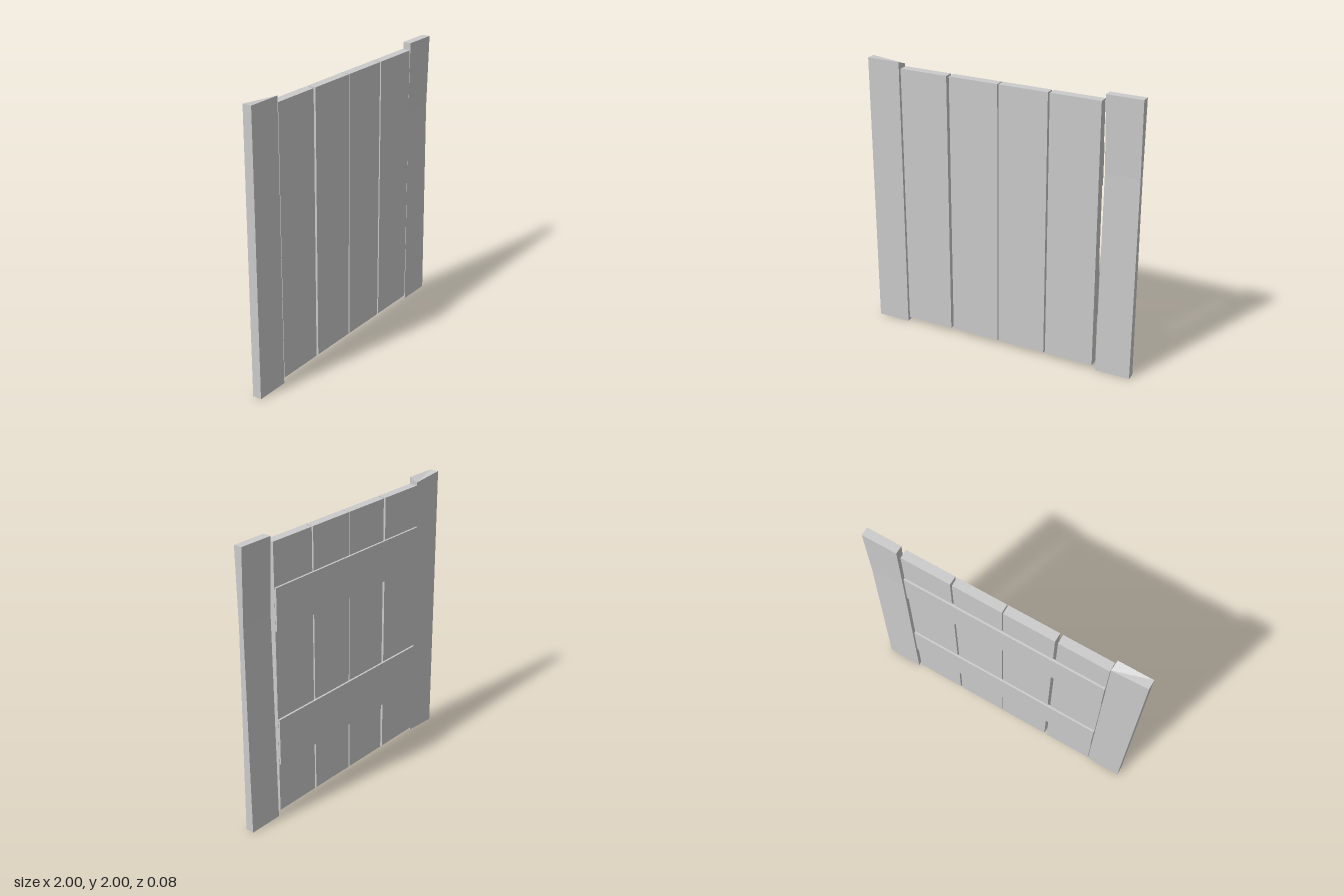
import * as THREE from 'three';

const material = new THREE.MeshStandardMaterial({ color: 0xcccccc, flatShading: true });

// Box given by its minimum and maximum on each axis
function board(name, [x0, x1], [y0, y1], [z0, z1]) {
  const mesh = new THREE.Mesh(new THREE.BoxGeometry(x1 - x0, y1 - y0, z1 - z0), material);
  mesh.position.set((x0 + x1) / 2, (y0 + y1) / 2, (z0 + z1) / 2);
  mesh.name = name;
  return mesh;
}

// Hewn post: a box with three levels whose corners are moved by a rule
function post(name, x, y, z, segments, reshape) {
  const mesh = board(name, x, y, z);
  const { width, height, depth } = mesh.geometry.parameters;
  mesh.geometry = new THREE.BoxGeometry(width, height, depth, 1, segments, 1);
  const pos = mesh.geometry.attributes.position;
  const v = new THREE.Vector3();
  for (let i = 0; i < pos.count; i++) {
    v.fromBufferAttribute(pos, i);
    reshape(v, Math.sign(v.x), Math.sign(v.z), v.y / height + 0.5);
    pos.setXYZ(i, v.x, v.y, v.z);
  }
  return mesh;
}

export function createModel() {
  const group = new THREE.Group();
  group.name = 'plankWall';

  // Upright planks
  const plankEdges = [[-0.745, -0.39], [-0.37, -0.008], [0, 0.355], [0.368, 0.725]];
  plankEdges.forEach((x, i) => group.add(board(`plank${i + 1}`, x, [0.035, 1.955], [-0.028, 0.036])));

  // Cross rails on the back
  group.add(board('lowerRail', [-0.745, 0.724], [0.395, 0.73], [-0.042, -0.024]));
  group.add(board('upperRail', [-0.745, 0.724], [1.36, 1.655], [-0.042, -0.024]));

  // Left post, pinched three quarters of the way up
  group.add(post('leftPost', [0.748, 1], [0, 2], [-0.033, 0.027], 2, (v, sx, sz, t) => {
    if (t > 0.4 && t < 0.6) {
      v.y = 0.47;
      v.z -= sz * 0.012;
      if (sx < 0) v.x += 0.009;
    }
  }));

  // Right post, with its inner back corner worn down at both ends
  group.add(post('rightPost', [-1, -0.756], [0, 2], [-0.025, 0.041], 1, (v, sx, sz, t) => {
    if (sx > 0 && sz < 0) {
      v.x += 0.008;
      v.y += t > 0.5 ? -0.025 : 0.015;
    }
  }));

  return group;
}
